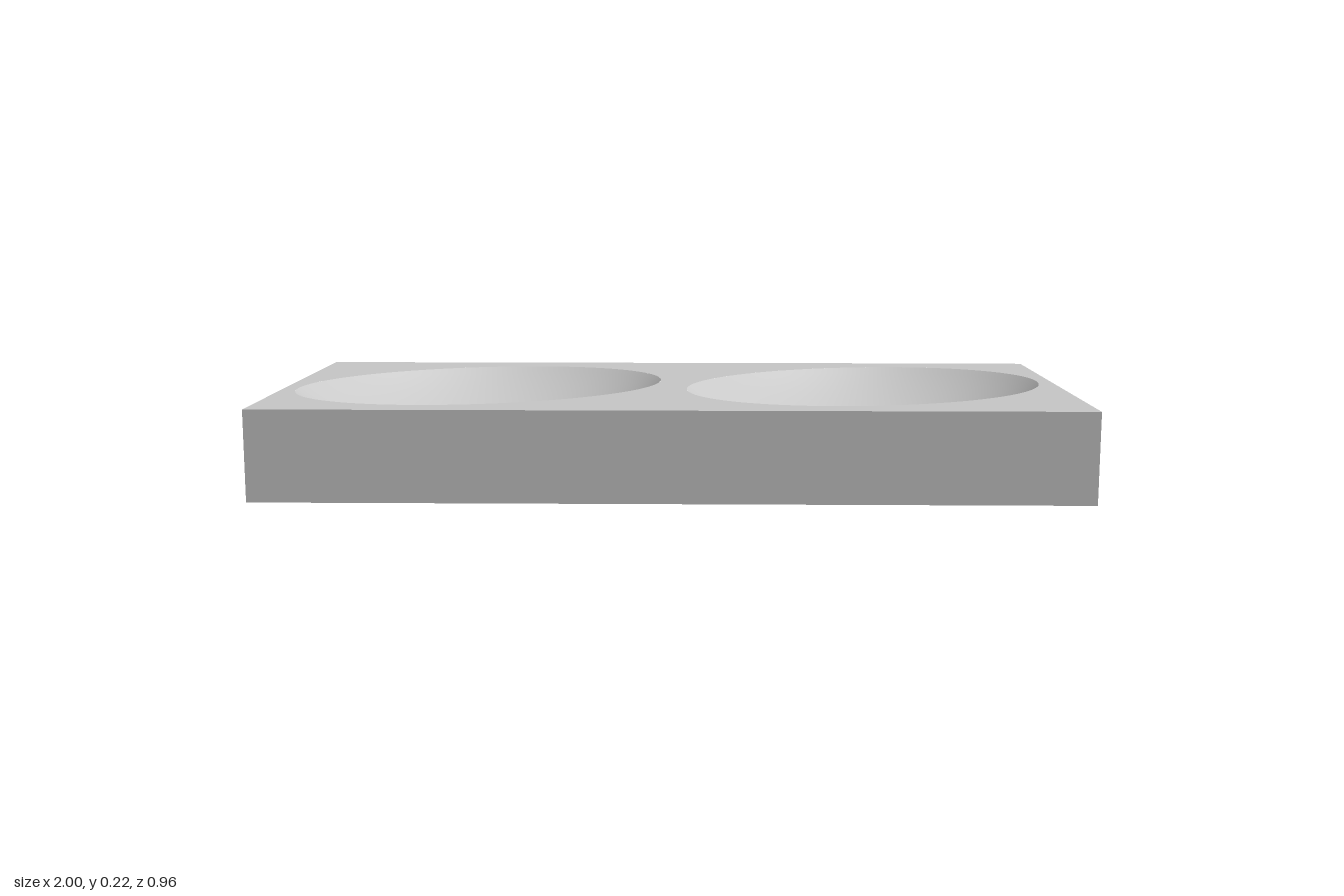
import * as THREE from 'three';

const HEIGHT = 0.222, HALF_W = 1, HALF_D = 0.48;
const EDGE_R = 0.018;                       // rounding of the top back edge
const CORNER_X = 0.03, CORNER_Z = 0.012;    // softened back corner
const BOWL = { a: 0.484, b: 0.36, depth: 0.16, tilt: THREE.MathUtils.degToRad(25), z: 0.015 };
const HOLE = { r: 0.058, depth: 0.12, z: -0.36 };
const SEG = 96;

// Back run of the outline, from the right face round the soft corner to the left face
function backRun(backZ) {
  const pts = [];
  for (let i = 0; i <= 8; i++) {
    const t = i / 8;
    pts.push([HALF_W - CORNER_X * t, backZ + CORNER_Z * (1 - t) ** 2]);
  }
  pts.push([HALF_W - CORNER_X - 0.02, backZ], [-HALF_W, backZ]);
  return pts;
}

// Wall heights with the matching position of the back face
function wallLayers() {
  const layers = [[0, -HALF_D], [HEIGHT - EDGE_R - 0.01, -HALF_D]];
  for (let i = 0; i <= 8; i++) {
    const a = (i / 8) * Math.PI / 2;
    layers.push([HEIGHT - EDGE_R + EDGE_R * Math.sin(a), -HALF_D + EDGE_R * (1 - Math.cos(a))]);
  }
  return layers;
}

// Smooth wall strip: run(backZ) gives [x, z] points, anticlockwise seen from above
function wallGeometry(run) {
  const pos = [], index = [];
  const layers = wallLayers();
  const n = run(0).length;
  for (const [y, backZ] of layers) for (const [x, z] of run(backZ)) pos.push(x, y, z);
  for (let j = 0; j < layers.length - 1; j++) {
    for (let i = 0; i < n - 1; i++) {
      const a = j * n + i, b = a + 1, c = b + n, d = a + n;
      index.push(a, b, c, a, c, d);
    }
  }
  const g = new THREE.BufferGeometry();
  g.setAttribute('position', new THREE.Float32BufferAttribute(pos, 3));
  g.setIndex(index);
  g.computeVertexNormals();
  return g;
}

// Plan outline; shape y is sign * z
function planShape(backZ, sign) {
  const pts = [[-HALF_W, HALF_D], [HALF_W, HALF_D], ...backRun(backZ)];
  return new THREE.Shape(pts.map(([x, z]) => new THREE.Vector2(x, sign * z)));
}

// Shallow cap, scaled to an ellipse and turned
function bowlGeometry() {
  const { a, b, depth, tilt } = BOWL;
  const r = (a + b) / 2;
  const R = (r * r + depth * depth) / (2 * depth);
  const maxAngle = Math.asin(r / R);
  const profile = [];
  for (let i = 0; i <= 24; i++) {
    const t = maxAngle * (1 - i / 24);
    profile.push(new THREE.Vector2(i === 24 ? 0 : R * Math.sin(t), R - depth - R * Math.cos(t)));
  }
  return new THREE.LatheGeometry(profile, SEG).scale(a / r, 1, b / r).rotateY(tilt);
}

export function createModel() {
  const group = new THREE.Group();
  group.name = 'doubleBowlTray';
  const grey = new THREE.MeshStandardMaterial({ color: 0xc8c8c8 });
  grey.name = 'lightGrey';
  const add = (name, geometry, x = 0, y = 0, z = 0) => {
    const mesh = new THREE.Mesh(geometry, grey);
    mesh.name = name;
    mesh.position.set(x, y, z);
    group.add(mesh);
  };

  // Side walls
  add('frontWall', wallGeometry(() => [[-HALF_W, HALF_D], [HALF_W, HALF_D]]));
  add('leftWall', wallGeometry((bz) => [[HALF_W, HALF_D], [HALF_W, bz + CORNER_Z]]));
  add('backWall', wallGeometry(backRun));
  add('rightWall', wallGeometry((bz) => [[-HALF_W, bz], [-HALF_W, HALF_D]]));

  // Top face with two tilted elliptical openings, and the bowls below them
  const top = planShape(-HALF_D + EDGE_R, -1);
  const bowl = bowlGeometry();
  for (const x of [-0.5, 0.5]) {
    const hole = new THREE.Path();
    hole.absellipse(x, -BOWL.z, BOWL.a, BOWL.b, 0, Math.PI * 2, true, BOWL.tilt);
    top.holes.push(hole);
    add(x < 0 ? 'rightBowl' : 'leftBowl', bowl, x, HEIGHT, BOWL.z);
  }
  add('topFace', new THREE.ShapeGeometry(top, SEG).rotateX(-Math.PI / 2), 0, HEIGHT, 0);

  // Underside with a blind round hole
  const base = planShape(-HALF_D, 1);
  const opening = new THREE.Path();
  opening.absarc(0, HOLE.z, HOLE.r, 0, Math.PI * 2, true);
  base.holes.push(opening);
  add('underside', new THREE.ShapeGeometry(base, 48).rotateX(Math.PI / 2));
  const holeWall = [new THREE.Vector2(HOLE.r, HOLE.depth), new THREE.Vector2(HOLE.r, 0)];
  add('holeWall', new THREE.LatheGeometry(holeWall, 48), 0, 0, HOLE.z);
  add('holeEnd', new THREE.CircleGeometry(HOLE.r, 48).rotateX(Math.PI / 2), 0, HOLE.depth, HOLE.z);

  return group;
}
